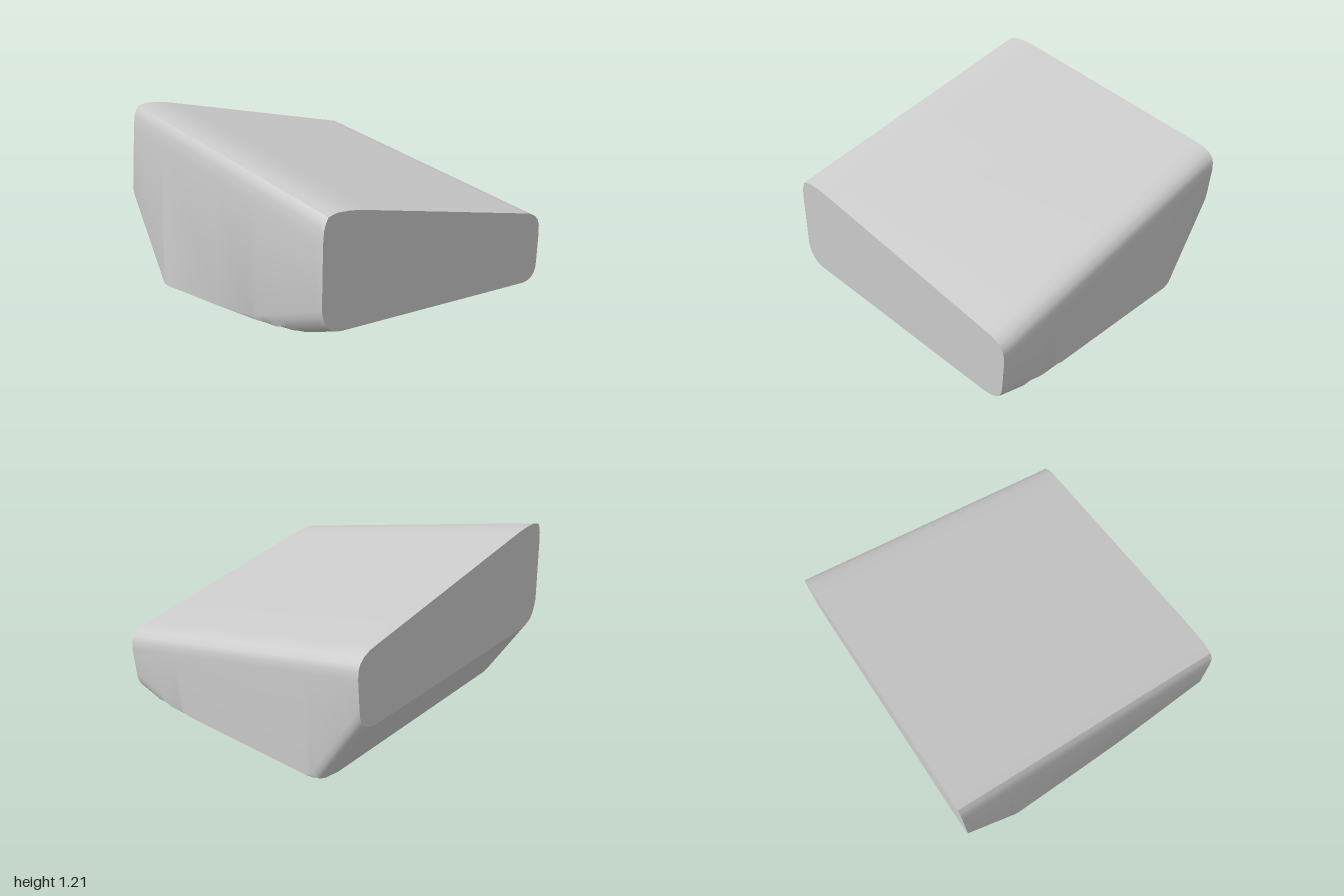
import * as THREE from 'three';
import { toCreasedNormals } from 'three/addons/utils/BufferGeometryUtils.js';

// Lower edge, left to right: x and the rise of the rounded corner
const LOWER = [[-0.985, 0.14], [-0.975, 0.1], [-0.96, 0.06], [-0.93, 0.027], [-0.89, 0.008], [-0.84, 0],
  [0.84, 0], [0.89, 0.008], [0.93, 0.025], [0.96, 0.05], [0.978, 0.09], [0.985, 0.14]];

// Upper edge at the front, right to left: x and height
const UPPER = [[1, 0.34], [0.998, 0.39], [0.985, 0.43], [0.95, 0.463], [0.9, 0.485], [0.82, 0.499],
  [-0.6, 0.723], [-0.7, 0.738], [-0.78, 0.745], [-0.87, 0.745], [-0.93, 0.728], [-0.95, 0.695],
  [-0.962, 0.655], [-0.97, 0.58]];

// One cross-section, counter-clockwise when seen from the front
function section(z) {
  const lower = LOWER.map(([x, d]) => {
    const backSlope = 0.45 - 1.6 * (z + 1) + 1.2 * d;
    const frontRise = 0.035 - 0.029 * x - 0.28 * (1 - z) + d;
    const lean = x < -0.9 ? 0.008 * (z - 0.3) : 0;
    return new THREE.Vector3(x + lean, Math.max(0, backSlope, frontRise), z);
  });
  const upper = UPPER.map(([x, y]) => new THREE.Vector3(x, y + 0.233 * (1 - z), z));
  return [...lower, ...upper];
}

export function createModel() {
  const group = new THREE.Group();
  group.name = 'wedgeBlock';

  // Sections crowd together where the underside bends up
  const stations = [-1, -0.9, -0.8, -0.74, -0.72, -0.7, -0.68, -0.66, -0.64, -0.62, -0.6, 0, 0.35];
  for (let i = 1; i <= 16; i++) stations.push(0.35 + (0.65 * i) / 16);
  const rings = stations.map(section);
  const n = rings[0].length;
  const positions = [];
  const tri = (...points) => points.forEach((p) => positions.push(p.x, p.y, p.z));

  // Skin between neighbouring sections
  for (let r = 0; r < rings.length - 1; r++) {
    const back = rings[r];
    const front = rings[r + 1];
    for (let i = 0; i < n; i++) {
      const j = (i + 1) % n;
      tri(back[i], back[j], front[j]);
      tri(back[i], front[j], front[i]);
    }
  }

  // Flat end caps
  const cap = (ring, facesFront) => {
    const centre = new THREE.Vector3();
    ring.forEach((p) => centre.addScaledVector(p, 1 / n));
    for (let i = 0; i < n; i++) {
      const a = ring[i];
      const b = ring[(i + 1) % n];
      if (facesFront) tri(centre, a, b);
      else tri(centre, b, a);
    }
  };
  cap(rings[0], false);
  cap(rings[rings.length - 1], true);

  const geometry = new THREE.BufferGeometry();
  geometry.setAttribute('position', new THREE.Float32BufferAttribute(positions, 3));
  const body = new THREE.Mesh(toCreasedNormals(geometry, 0.55), new THREE.MeshStandardMaterial({ color: 0xcccccc }));
  body.name = 'body';
  group.add(body);
  return group;
}
